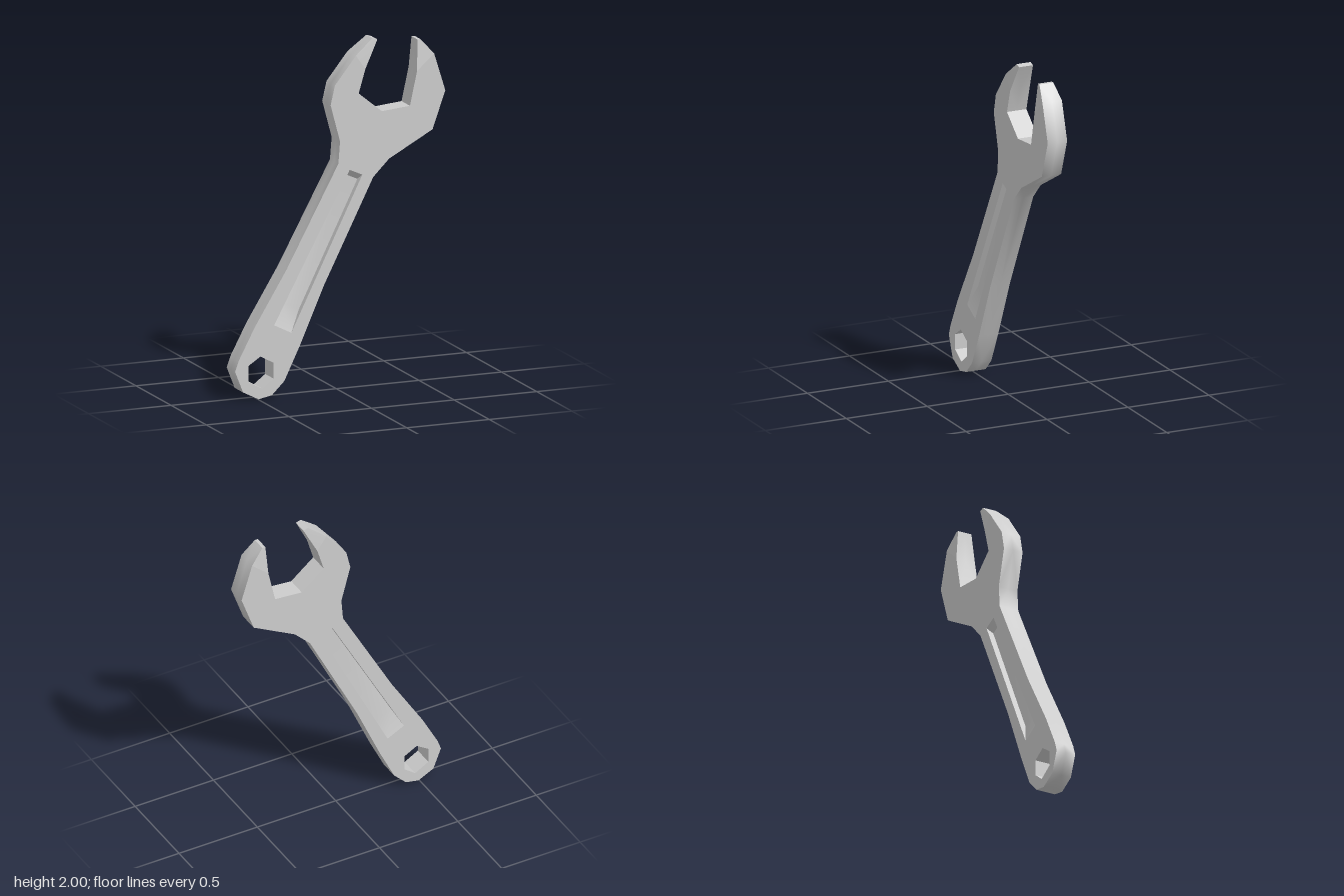
import * as THREE from 'three';
import { toCreasedNormals } from 'three/addons/utils/BufferGeometryUtils.js';

const HALF = 0.06;       // half thickness
const TIP_HALF = 0.043;  // half thickness at the jaw tips
const GROOVE_DEPTH = 0.035;

// Outline, clockwise from the tip of the left jaw
const outline = [
  [0.2, 2], [0.23, 1.99], [0.15, 1.83], [0.11, 1.695], [0.25, 1.58], [0.42, 1.595], [0.463, 1.79],
  [0.473, 1.966], [0.492, 1.966], [0.567, 1.88], [0.634, 1.664], [0.557, 1.447], [0.294, 1.304],
  [0.198, 1.208], [-0.103, 0.61], [-0.25, 0.276], [-0.34, 0.09], [-0.415, 0.016], [-0.495, 0],
  [-0.59, 0.048], [-0.638, 0.17], [-0.617, 0.23], [-0.52, 0.413], [-0.325, 0.73], [-0.013, 1.304],
  [-0.003, 1.43], [-0.06, 1.643], [-0.034, 1.754], [0.093, 1.913],
].map(([x, y]) => new THREE.Vector2(x, y));

// Hexagonal hanging hole, clockwise
const hexHole = [
  [-0.484, 0.244], [-0.405, 0.2], [-0.405, 0.11], [-0.474, 0.058], [-0.558, 0.106], [-0.558, 0.196],
].map(([x, y]) => new THREE.Vector2(x, y));

// Handle groove: stations from the head end (0) to the hole end (1)
const stations = [[0, 0], [0.035, GROOVE_DEPTH], [0.86, GROOVE_DEPTH], [1, 0]];
const edge = (x0, y0, x1, y1) => stations.map(([t]) =>
  new THREE.Vector2(x0 + (x1 - x0) * t, y0 + (y1 - y0) * t));
const grooveLeft = edge(0.055, 1.262, -0.402, 0.415);
const grooveRight = edge(0.132, 1.228, -0.298, 0.362);

const isTip = p => p.y > 1.95;
const at = (p, z) => [p.x, p.y, z];
const top = p => at(p, isTip(p) ? TIP_HALF : HALF);

// Collects triangles together with their mirror images on the back
function collector() {
  const positions = [];
  const tri = (a, b, c) => {
    positions.push(...a, ...b, ...c);
    for (const [x, y, z] of [a, c, b]) positions.push(x, y, -z);
  };
  const quad = (a, b, c, d) => { tri(a, b, c); tri(a, c, d); };
  const mesh = (name, material) => {
    const geometry = new THREE.BufferGeometry();
    geometry.setAttribute('position', new THREE.Float32BufferAttribute(positions, 3));
    const result = new THREE.Mesh(toCreasedNormals(geometry, 0.75), material);
    result.name = name;
    return result;
  };
  return { tri, quad, mesh };
}

// Walls along a closed loop, facing left of the direction of travel
function addWalls(target, loop) {
  loop.forEach((p, i) => {
    const q = loop[(i + 1) % loop.length];
    target.quad(top(p), top(q), at(q, 0), at(p, 0));
  });
}

export function createModel() {
  const group = new THREE.Group();
  group.name = 'wrench';
  const material = new THREE.MeshStandardMaterial({ color: 0xcccccc });

  // Flat faces with openings for the hole and the groove
  const faces = collector();
  const contour = outline.filter(p => !isTip(p));
  const grooveLoop = [...grooveLeft, ...[...grooveRight].reverse()];
  const points = [...contour, ...hexHole, ...grooveLoop];
  for (const indices of THREE.ShapeUtils.triangulateShape(contour, [hexHole, grooveLoop])) {
    const corners = indices.map(i => points[i]);
    if (THREE.ShapeUtils.area(corners) < 0) corners.reverse();
    faces.tri(...corners.map(top));
  }
  group.add(faces.mesh('faces', material));

  // Thinned jaw tips
  const tips = collector();
  for (const ids of [[28, 2, 1, 0], [6, 9, 8, 7]]) {
    tips.quad(...ids.map(i => top(outline[i])));
  }
  group.add(tips.mesh('jawTips', material));

  // Outer edge
  const rim = collector();
  addWalls(rim, outline);
  group.add(rim.mesh('rim', material));

  // Inside of the hanging hole
  const hole = collector();
  addWalls(hole, [...hexHole].reverse());
  group.add(hole.mesh('hangingHole', material));

  // Groove floor with sloping ends, and its side walls
  const floor = collector();
  const walls = collector();
  for (let i = 0; i < stations.length - 1; i++) {
    const [l0, l1, r0, r1] = [grooveLeft[i], grooveLeft[i + 1], grooveRight[i], grooveRight[i + 1]];
    const z0 = HALF - stations[i][1], z1 = HALF - stations[i + 1][1];
    floor.quad(at(l0, z0), at(l1, z1), at(r1, z1), at(r0, z0));
    walls.quad(top(l0), top(l1), at(l1, z1), at(l0, z0));
    walls.quad(top(r1), top(r0), at(r0, z0), at(r1, z1));
  }
  group.add(floor.mesh('grooveFloor', material), walls.mesh('grooveWalls', material));

  return group;
}
